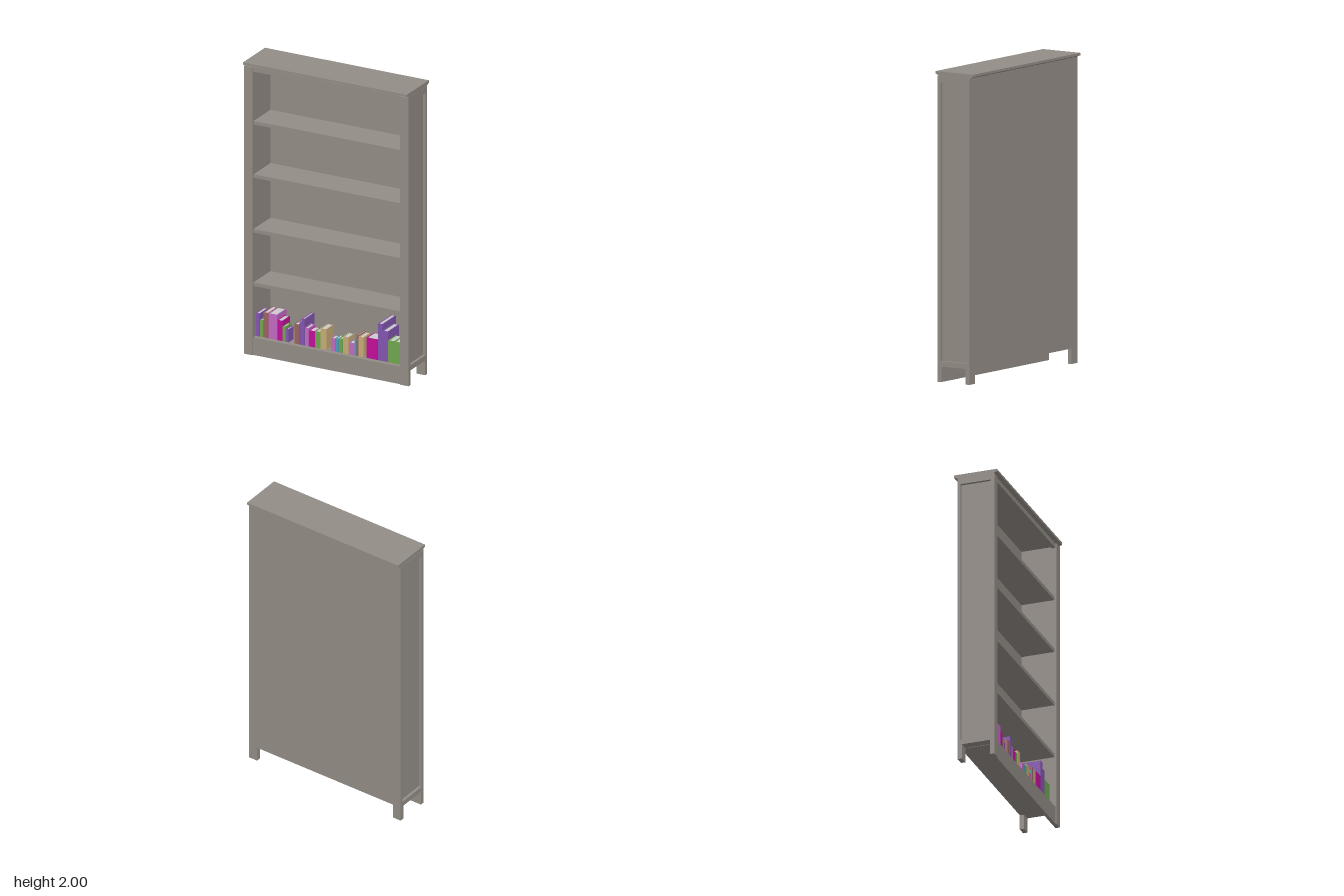
import * as THREE from 'three';

const WOOD = new THREE.MeshStandardMaterial({ color: 0x938d86 });
const PAPER = new THREE.MeshStandardMaterial({ color: 0xcccccc });
const COVERS = {
  purple: 0x8456b2, brown: 0x9c6560, pink: 0xc46ac4, magenta: 0xc4109c,
  green: 0x6fa84f, tan: 0xc8ac78, teal: 0x4f9fb8,
};
const covers = Object.fromEntries(Object.entries(COVERS)
  .map(([name, color]) => [name, new THREE.MeshStandardMaterial({ color })]));

// Box given by its limits on each axis
function block(parent, name, [x0, x1], [y0, y1], [z0, z1], material = WOOD) {
  const mesh = new THREE.Mesh(new THREE.BoxGeometry(x1 - x0, y1 - y0, z1 - z0), material);
  mesh.position.set((x0 + x1) / 2, (y0 + y1) / 2, (z0 + z1) / 2);
  mesh.name = name;
  parent.add(mesh);
}

// Outline drawn as (z, y), extruded along x from x0 to x1
function extrudeAlongX(parent, name, points, hole, x0, x1) {
  const toShape = (list) => list.map(([z, y]) => new THREE.Vector2(-z, y));
  const shape = new THREE.Shape(toShape(points));
  if (hole) shape.holes.push(new THREE.Path(toShape(hole)));
  const geometry = new THREE.ExtrudeGeometry(shape, { depth: x1 - x0, bevelEnabled: false });
  geometry.rotateY(Math.PI / 2).translate(x0, 0, 0);
  // the quarter turn maps the drawn axis to -z
  const mesh = new THREE.Mesh(geometry, WOOD);
  mesh.name = name;
  parent.add(mesh);
}

const OUT = 0.597, FRAME = 0.578, IN = 0.535;   // half widths: outer face, recessed panel, inner face
const FRONT = 0.13, BACK = -0.12, INNER_BACK = -0.108;
const BODY_TOP = 1.972, FLOOR = 0.12;

function buildSide(s) {
  const side = new THREE.Group();
  side.name = s > 0 ? 'leftSide' : 'rightSide';
  const span = (a, b) => (s > 0 ? [a, b] : [-b, -a]);

  // Framed outer face with two feet and a panel opening
  extrudeAlongX(side, 'sideFrame',
    [[FRONT, 0], [0.1, 0], [0.1, 0.1], [-0.09, 0.1], [-0.09, 0], [BACK, 0], [BACK, BODY_TOP], [FRONT, BODY_TOP]],
    [[0.105, 0.135], [0.105, 1.93], [-0.1, 1.93], [-0.1, 0.135]],
    ...span(FRAME, OUT));
  block(side, 'sidePanel', span(IN, FRAME), [0.1, BODY_TOP], [INNER_BACK, 0.1]);
  block(side, 'frontStile', span(IN, FRAME), [0, BODY_TOP], [0.1, FRONT]);
  block(side, 'backFoot', span(IN, FRAME), [0, 0.1], [BACK, -0.09]);
  return side;
}

// Hardback: two boards and a spine around a slightly smaller page block
function buildBook(x0, x1, top, color) {
  const book = new THREE.Group();
  book.name = 'book';
  const cover = covers[color];
  const height = top - FLOOR, front = 0.09, back = front - 0.72 * height;
  const t = Math.min(0.004, (x1 - x0) / 5);
  const y = [FLOOR, top];
  block(book, 'spine', [x0, x1], y, [front - t, front], cover);
  block(book, 'board', [x0, x0 + t], y, [back, front - t], cover);
  block(book, 'board', [x1 - t, x1], y, [back, front - t], cover);
  block(book, 'pages', [x0 + t, x1 - t], [FLOOR + 0.003, top - 0.004], [back + 0.004, front - t], PAPER);
  return book;
}

// Rows of books: start x, then [width, top height, cover]
const BOOK_ROWS = [
  [-0.534, [
    [0.03, 0.277, 'purple'], [0.024, 0.235, 'green'], [0.038, 0.292, 'brown'], [0.064, 0.292, 'pink'],
    [0.039, 0.258, 'magenta'], [0.024, 0.223, 'green'], [0.022, 0.208, 'purple']]],
  [-0.255, [
    [0.037, 0.255, 'brown'], [0.017, 0.276, 'purple'], [0.023, 0.3, 'purple'], [0.03, 0.243, 'pink'],
    [0.044, 0.23, 'magenta'], [0.04, 0.233, 'green'], [0.044, 0.26, 'tan']]],
  [0.01, [
    [0.034, 0.208, 'pink'], [0.026, 0.213, 'teal'], [0.028, 0.217, 'green'], [0.043, 0.235, 'tan'],
    [0.042, 0.202, 'pink'], [0.013, 0.23, 'teal'], [0.017, 0.26, 'brown'], [0.037, 0.255, 'tan']]],
  [0.27, [
    [0.083, 0.26, 'magenta'], [0.034, 0.371, 'purple'], [0.04, 0.328, 'purple'],
    [0.046, 0.27, 'green'], [0.046, 0.27, 'green']]],
];

export function createModel() {
  const model = new THREE.Group();
  model.name = 'bookcase';
  model.add(buildSide(1), buildSide(-1));

  block(model, 'backPanel', [-FRAME, FRAME], [0.1, BODY_TOP], [BACK, INNER_BACK]);

  // Boards and rails between the sides
  const inner = [-IN, IN];
  block(model, 'bottomBoard', inner, [0.098, FLOOR], [INNER_BACK, 0.1]);
  block(model, 'baseRail', inner, [0, FLOOR], [0.1, 0.122]);
  block(model, 'topRail', inner, [1.94, BODY_TOP], [0.1, 0.122]);
  block(model, 'topBoard', inner, [1.95, BODY_TOP], [INNER_BACK, 0.1]);
  for (const y of [0.47, 0.835, 1.21, 1.575])
    block(model, 'shelf', inner, [y, y + 0.025], [INNER_BACK, 0.115]);

  // Crown with a flared underside at front and back
  const half = [[0.118, BODY_TOP], [0.128, 1.976], [0.138, 1.981], [0.146, 1.984], [0.146, 2]];
  const mirrored = half.map(([z, y]) => [-z, y]).reverse();
  extrudeAlongX(model, 'crown', [...half, ...mirrored], null, -0.595, 0.595);

  // Books on the bottom board
  const books = new THREE.Group();
  books.name = 'books';
  for (const [start, row] of BOOK_ROWS) {
    let x = start;
    for (const [width, top, color] of row) {
      books.add(buildBook(x + 0.001, x + width - 0.001, top, color));
      x += width;
    }
  }
  model.add(books);
  return model;
}
